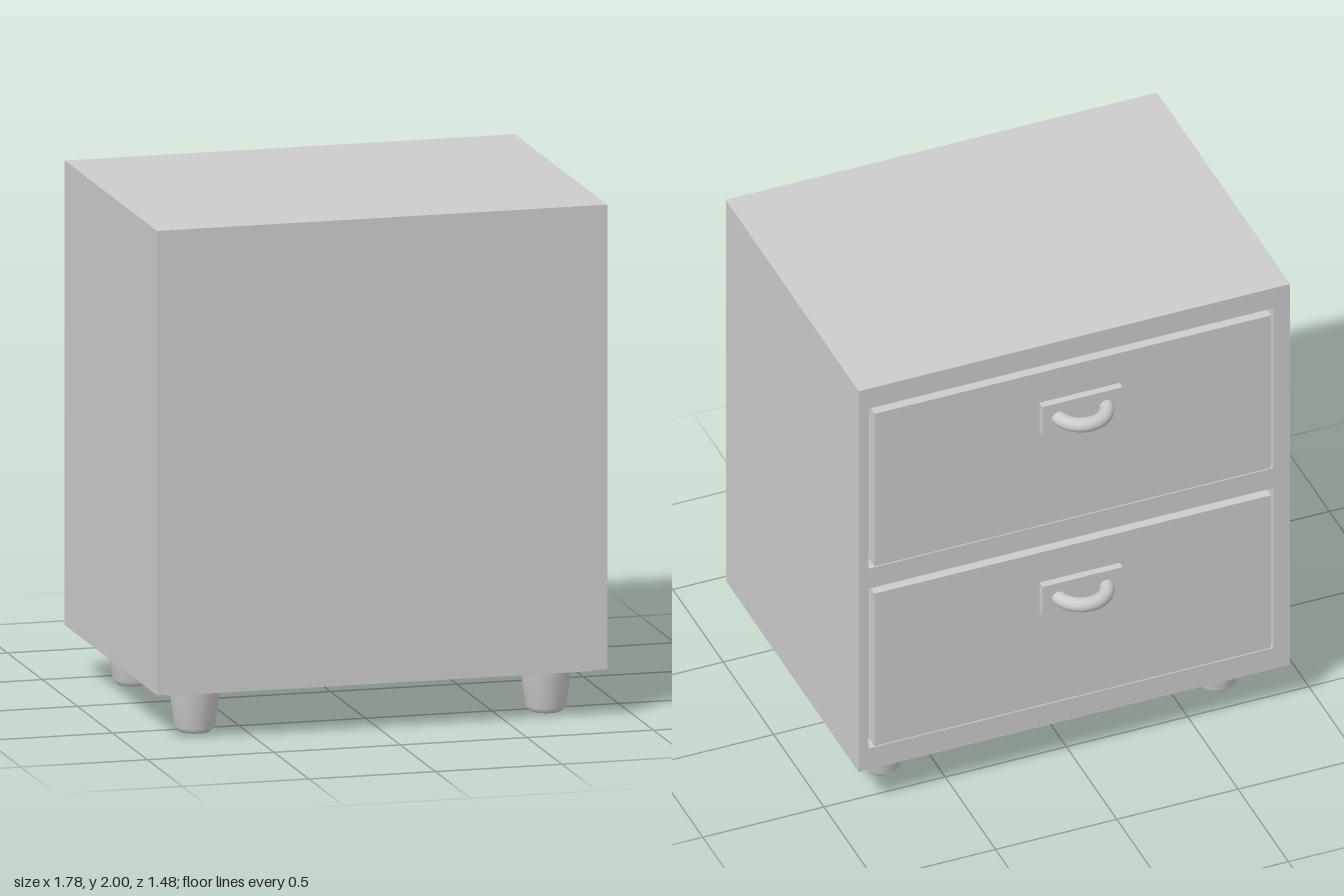
import * as THREE from 'three';

export function createModel() {
  const group = new THREE.Group();
  const material = new THREE.MeshStandardMaterial({ color: 0xcccccc });

  const add = (name, geometry, x, y, z, parent = group) => {
    const mesh = new THREE.Mesh(geometry, material);
    mesh.name = name;
    mesh.position.set(x, y, z);
    parent.add(mesh);
    return mesh;
  };
  // box given by its limits on each axis
  const addBox = (name, [x0, x1], [y0, y1], [z0, z1], parent) =>
    add(name, new THREE.BoxGeometry(x1 - x0, y1 - y0, z1 - z0),
      (x0 + x1) / 2, (y0 + y1) / 2, (z0 + z1) / 2, parent);
  const rectangle = (path, [x0, x1], [y0, y1]) =>
    path.moveTo(x0, y0).lineTo(x1, y0).lineTo(x1, y1).lineTo(x0, y1).closePath();

  const width = [-0.89, 0.89], height = [0.19, 2];
  const drawerBottoms = [0.31, 1.165];
  const drawerHeight = 0.725;

  // Carcass: solid body and a face frame with two drawer openings
  addBox('cabinetBody', width, height, [-0.5, 0.74]);
  const frame = rectangle(new THREE.Shape(), width, height);
  for (const y of drawerBottoms) {
    frame.holes.push(rectangle(new THREE.Path(), [-0.82, 0.85], [y - 0.02, y + drawerHeight + 0.015]));
  }
  add('drawerFrame', new THREE.ExtrudeGeometry(frame, { depth: 0.08, bevelEnabled: false }), 0, 0, -0.58);

  // Drawers, each with a mounting plate and a half-ring pull
  drawerBottoms.forEach((y, i) => {
    const drawer = new THREE.Group();
    drawer.name = i ? 'upperDrawer' : 'lowerDrawer';
    group.add(drawer);
    addBox('drawerFront', [-0.803, 0.833], [y, y + drawerHeight], [-0.6, -0.5], drawer);
    const handleY = y + 0.513;
    addBox('handlePlate', [-0.178, 0.153], [handleY - 0.07, handleY + 0.07], [-0.63, -0.6], drawer);
    const pull = add('handlePull', new THREE.TorusGeometry(0.1, 0.029, 16, 32, Math.PI),
      -0.013, handleY, -0.612, drawer);
    pull.rotation.x = -Math.PI / 2;
  });

  // Base plate
  addBox('basePlate', [-0.83, 0.85], [0.17, 0.19], [-0.505, 0.67]);

  // Tapered feet with a chamfered bottom edge
  const footProfile = [[0, 0], [0.058, 0], [0.078, 0.02], [0.099, 0.172]]
    .map(([r, y]) => new THREE.Vector2(r, y));
  const footGeometry = new THREE.LatheGeometry(footProfile, 32);
  for (const x of [-0.686, 0.702]) {
    for (const z of [-0.343, 0.542]) add('foot', footGeometry, x, 0, z);
  }

  return group;
}
